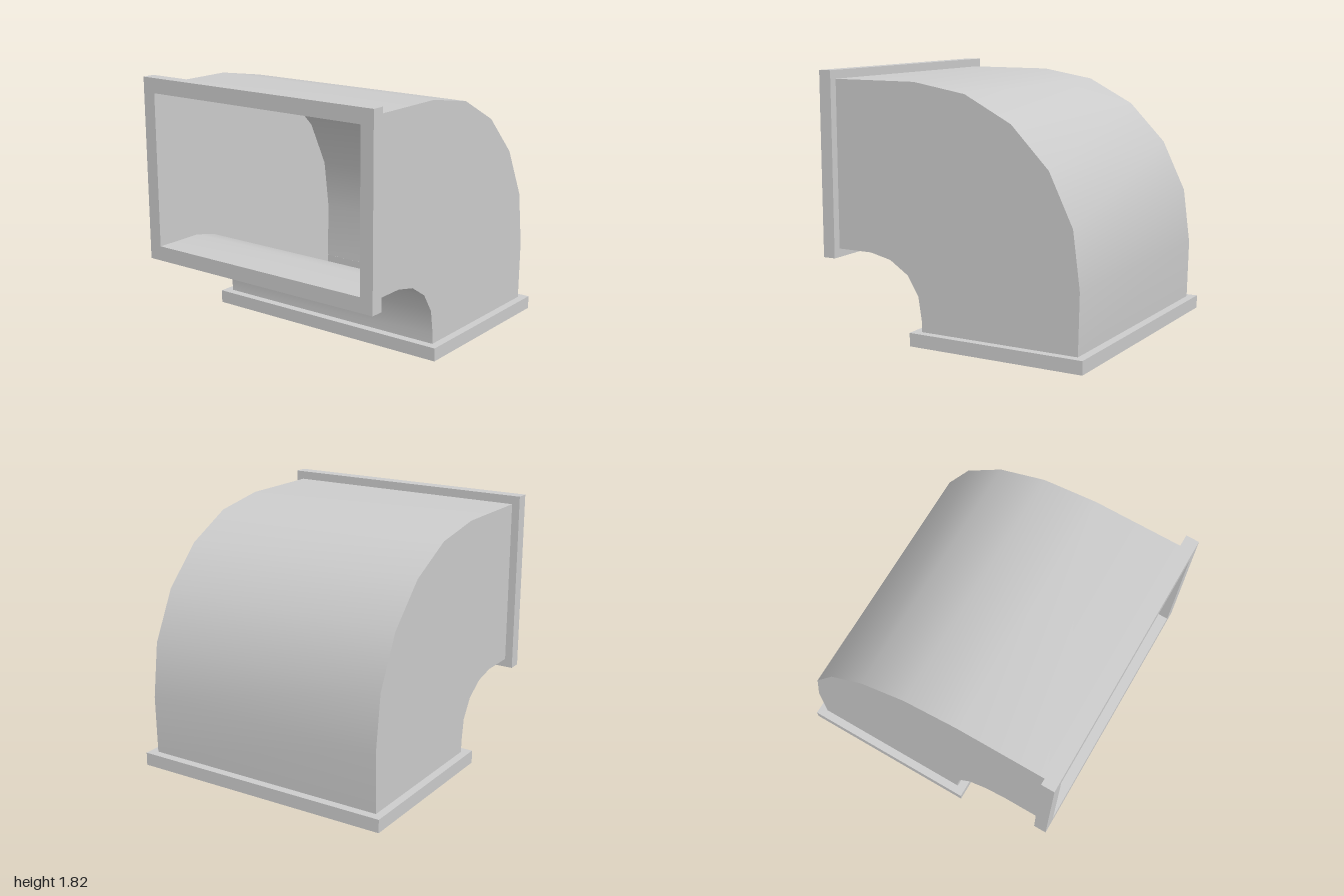
import * as THREE from 'three';
import { toCreasedNormals } from 'three/addons/utils/BufferGeometryUtils.js';

const HALF_W = 0.905, WALL = 0.04, FLANGE = 0.093;

// Side profiles as [z, y], from the front flange round to the bottom flange
const heelOuter = [[0.907, 1.765], [0.27, 1.765], [-0.12, 1.70], [-0.46, 1.525],
  [-0.73, 1.25], [-0.90, 0.90], [-0.95, 0.51], [-0.94, FLANGE]];
const heelInner = [[0.907, 1.72], [0.265, 1.72], [-0.105, 1.66], [-0.432, 1.49],
  [-0.692, 1.226], [-0.857, 0.887], [-0.907, 0.51], [-0.897, FLANGE]];
const throatOuter = [[0.907, 0.595], [0.64, 0.595], [0.48, 0.56], [0.34, 0.47],
  [0.255, 0.335], [0.23, 0.17], [0.23, FLANGE]];
const throatInner = [[0.907, 0.638], [0.635, 0.638], [0.462, 0.60], [0.308, 0.50],
  [0.214, 0.35], [0.187, 0.175], [0.187, FLANGE]];

const material = new THREE.MeshStandardMaterial({ color: 0xcccccc });

function addMesh(group, name, geometry) {
  const mesh = new THREE.Mesh(geometry, material);
  mesh.name = name;
  group.add(mesh);
  return mesh;
}

// Region between two side profiles, extruded across x from x0 to x1
function acrossX(a, b, x0, x1) {
  const outline = [...a, ...[...b].reverse()].map(([z, y]) => new THREE.Vector2(-z, y));
  const geo = new THREE.ExtrudeGeometry(new THREE.Shape(outline), { depth: x1 - x0, bevelEnabled: false });
  geo.translate(0, 0, x0).rotateY(Math.PI / 2);
  return toCreasedNormals(geo, THREE.MathUtils.degToRad(35));
}

function rectPoints(w, h) {
  return [[-1, -1], [1, -1], [1, 1], [-1, 1]].map(([x, y]) => new THREE.Vector2(x * w / 2, y * h / 2));
}

// Rectangular frame with an open middle
function flangeGeometry() {
  const shape = new THREE.Shape(rectPoints(1.924, 1.29));
  shape.holes.push(new THREE.Path(rectPoints(2 * (HALF_W - WALL), 1.082)));
  return new THREE.ExtrudeGeometry(shape, { depth: FLANGE, bevelEnabled: false });
}

export function createModel() {
  const group = new THREE.Group();
  group.name = 'ductElbow';

  // Curved sheets on the outside and inside of the bend
  addMesh(group, 'heelPanel', acrossX(heelOuter, heelInner, -HALF_W, HALF_W));
  addMesh(group, 'throatPanel', acrossX(throatInner, throatOuter, -HALF_W, HALF_W));

  // Flat cheeks closing both sides
  addMesh(group, 'leftCheek', acrossX(heelInner, throatInner, HALF_W - WALL, HALF_W));
  addMesh(group, 'rightCheek', acrossX(heelInner, throatInner, -HALF_W, WALL - HALF_W));

  // Flanges around the two openings
  addMesh(group, 'frontFlange', flangeGeometry()).position.set(0, 1.18, 1 - FLANGE);
  const bottom = addMesh(group, 'bottomFlange', flangeGeometry());
  bottom.rotation.x = -Math.PI / 2;
  bottom.position.z = -0.355;

  return group;
}
